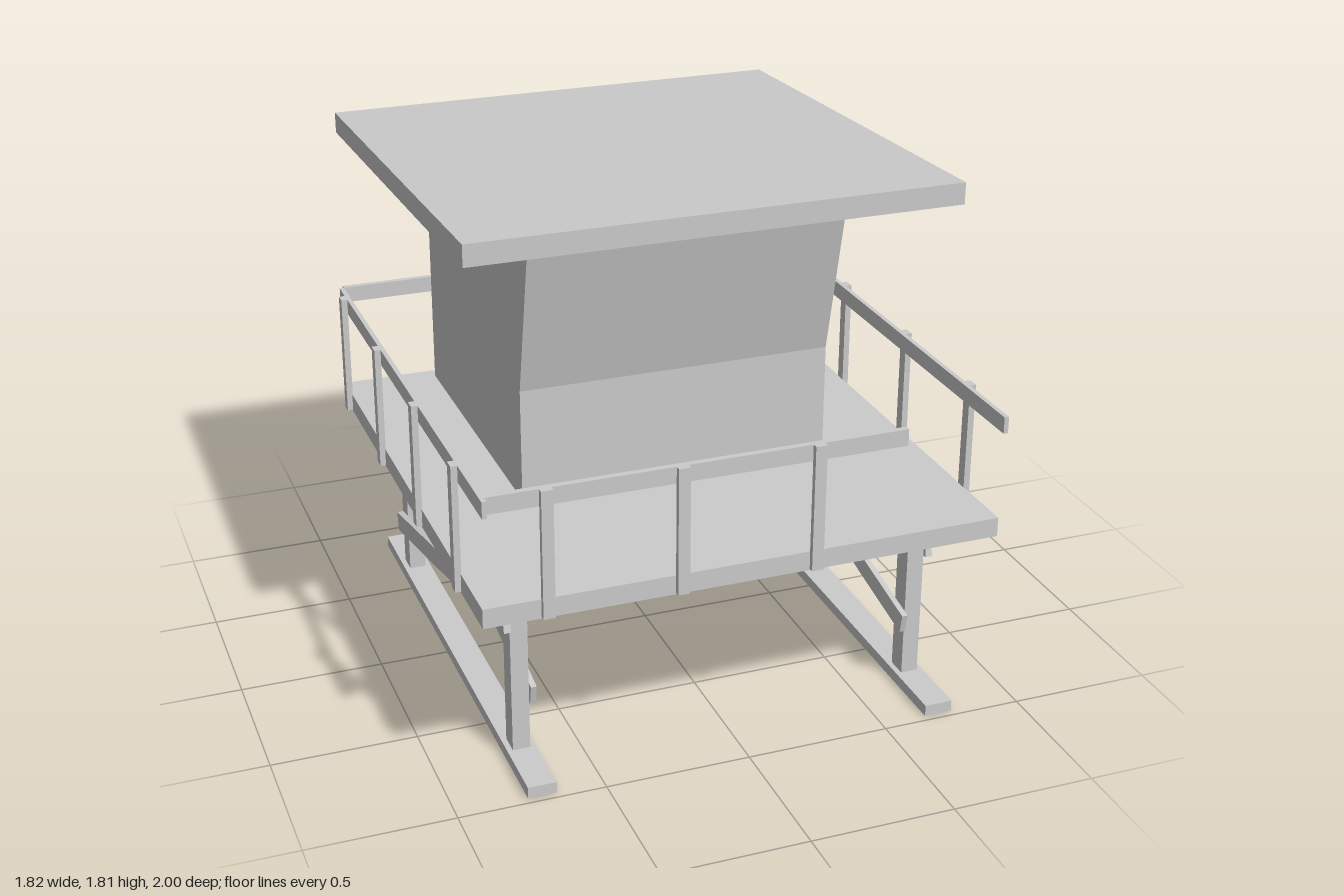
import * as THREE from 'three';

const material = new THREE.MeshStandardMaterial({ color: 0xcccccc, flatShading: true });
const openMaterial = new THREE.MeshStandardMaterial({ color: 0xcccccc, flatShading: true, side: THREE.DoubleSide });

export function createModel() {
  const model = new THREE.Group();

  const add = (name, geometry, mat = material) => {
    const mesh = new THREE.Mesh(geometry, mat);
    mesh.name = name;
    model.add(mesh);
    return mesh;
  };

  // Box given by its limits on each axis
  const box = (name, [x0, x1], [y0, y1], [z0, z1]) => {
    const mesh = add(name, new THREE.BoxGeometry(x1 - x0, y1 - y0, z1 - z0));
    mesh.position.set((x0 + x1) / 2, (y0 + y1) / 2, (z0 + z1) / 2);
    return mesh;
  };

  // Same limits, mirrored for the chosen side
  const span = (side, a, b) => (side > 0 ? [a, b] : [-b, -a]);

  // Side profile of [z, y] points, extruded across x
  const acrossX = (name, points, halfWidth) => {
    const shape = new THREE.Shape(points.map(([z, y]) => new THREE.Vector2(-z, y)));
    const geometry = new THREE.ExtrudeGeometry(shape, { depth: 2 * halfWidth, bevelEnabled: false });
    geometry.translate(0, 0, -halfWidth).rotateY(Math.PI / 2);
    return add(name, geometry);
  };

  // Roof slab and cabin with an outward-leaning upper front
  acrossX('roof', [[0.705, 1.735], [0.705, 1.81], [-1, 1.735], [-1, 1.66]], 0.84);
  acrossX('cabin', [[-0.815, 0.72], [0.305, 0.72], [0.305, 1.12], [0.44, 1.724], [-0.815, 1.669]], 0.553);

  // Deck
  box('deck', [-0.89, 0.89], [0.652, 0.72], [-0.865, 0.975]);

  // Cross beams with chamfered lower ends
  const beamShape = new THREE.Shape([
    [-0.833, 0.652], [-0.833, 0.605], [-0.755, 0.587],
    [0.755, 0.587], [0.833, 0.605], [0.833, 0.652],
  ].map(([x, y]) => new THREE.Vector2(x, y)));
  const legZ = [0.712, -0.622];
  for (const z of legZ) {
    const beam = new THREE.ExtrudeGeometry(beamShape, { depth: 0.075, bevelEnabled: false });
    add('crossBeam', beam.translate(0, 0, z - 0.0375));
  }

  // Diagonal brace between two [z, y] points
  const brace = (name, xs, [z0, y0], [z1, y1]) => {
    const length = Math.hypot(z1 - z0, y1 - y0);
    const mesh = add(name, new THREE.BoxGeometry(xs[1] - xs[0], 0.07, length));
    mesh.position.set((xs[0] + xs[1]) / 2, (y0 + y1) / 2, (z0 + z1) / 2);
    mesh.rotation.x = -Math.atan2(y0 - y1, z0 - z1);
  };

  for (const side of [1, -1]) {
    // Runner, open underneath
    const runner = new THREE.BoxGeometry(0.098, 0.04, 1.84);
    const index = Array.from(runner.index.array);
    index.splice(18, 6);
    runner.setIndex(index);
    runner.clearGroups();
    add('runner', runner, openMaterial).position.set(side * 0.71, 0.02, 0.055);

    // Legs and crossed braces
    for (const z of legZ) {
      box('leg', span(side, 0.68, 0.74), [0.04, 0.59], [z - 0.0375, z + 0.0375]);
    }
    brace('outerBrace', span(side, 0.74, 0.764), [0.76, 0.53], [-0.648, 0.216]);
    brace('innerBrace', span(side, 0.66, 0.68), [0.766, 0.247], [-0.635, 0.535]);

    // Side railing
    box('sideRail', span(side, 0.872, 0.888), [1.042, 1.1], [-0.872, 1]);
    for (const z of [0.713, 0.235, -0.265, -0.77]) {
      box('sidePost', span(side, 0.888, 0.91), [0.657, 1.1], [z - 0.02, z + 0.02]);
    }
  }

  // Back railing, and front railing with an entrance gap
  box('backRail', [-0.872, 0.872], [1.042, 1.1], [-0.893, -0.872]);
  box('frontRail', [-0.872, 0.542], [1.042, 1.1], [0.952, 0.974]);
  for (const x of [-0.68, -0.234, 0.228]) {
    box('frontPost', [x - 0.02, x + 0.02], [0.657, 1.1], [0.974, 0.994]);
  }

  return model;
}
